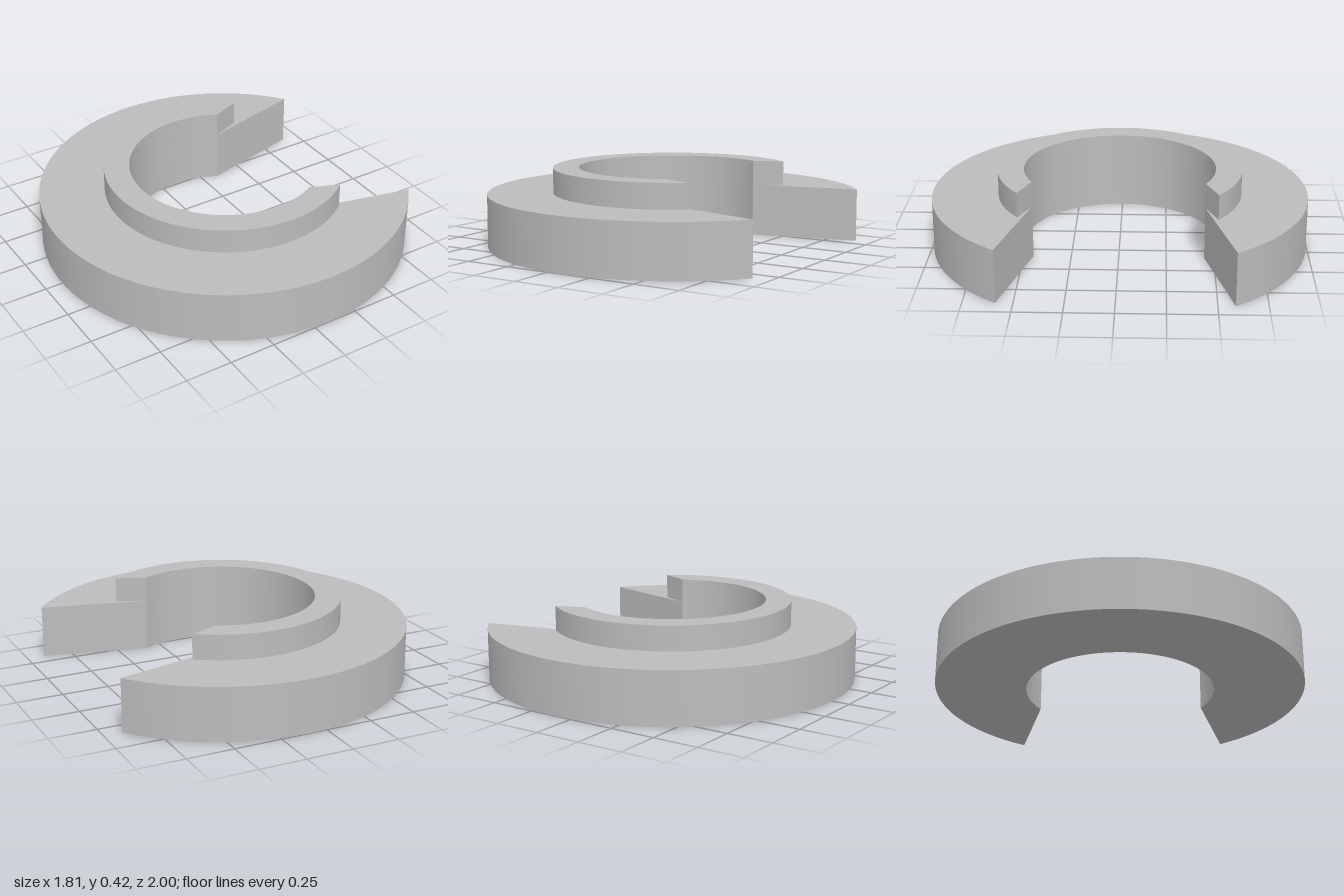
import * as THREE from 'three';
import { toCreasedNormals } from 'three/addons/utils/BufferGeometryUtils.js';

const CENTRE_X = 0.0955;
const INNER_R = 0.51;
const INNER_ANGLE = THREE.MathUtils.degToRad(61.7);

// C-shaped ring, open towards +x, with straight cuts joining the two arcs
function openRing(outerR, outerDegrees, bottom, top) {
  const a = THREE.MathUtils.degToRad(outerDegrees);
  const shape = new THREE.Shape();
  shape.absarc(0, 0, outerR, a, Math.PI * 2 - a, false);
  shape.absarc(0, 0, INNER_R, Math.PI * 2 - INNER_ANGLE, INNER_ANGLE, true);
  shape.closePath();
  const geometry = new THREE.ExtrudeGeometry(shape, {
    depth: top - bottom, bevelEnabled: false, curveSegments: 64,
  });
  geometry.rotateX(-Math.PI / 2);
  geometry.translate(CENTRE_X, bottom, 0);
  return toCreasedNormals(geometry, 0.4);
}

export function createModel() {
  const group = new THREE.Group();
  group.name = 'openCollar';
  const grey = new THREE.MeshStandardMaterial({ color: 0xbcbcbc });
  grey.name = 'grey';

  // Wide lower flange
  const flange = new THREE.Mesh(openRing(1, 36, 0, 0.283), grey);
  flange.name = 'flange';

  // Narrow raised lip around the bore
  const lip = new THREE.Mesh(openRing(0.648, 52.2, 0.283, 0.417), grey);
  lip.name = 'raisedLip';

  group.add(flange, lip);
  return group;
}
